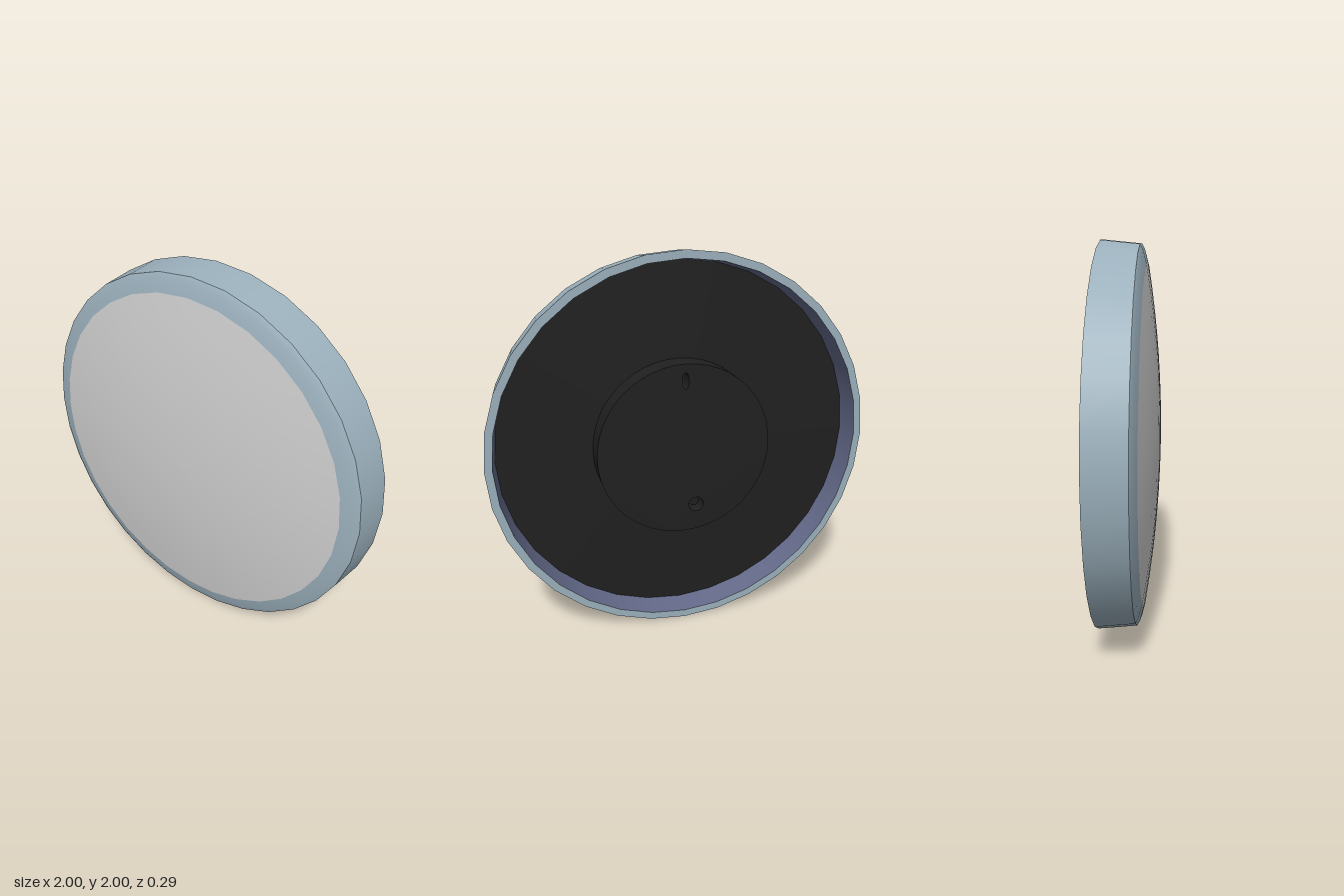
import * as THREE from 'three';
import { toCreasedNormals } from 'three/addons/utils/BufferGeometryUtils.js';

const SIDES = 32;
const BACK = -0.147;
const PLATE = -0.02;

const material = (name, color) => {
  const m = new THREE.MeshStandardMaterial({ color });
  m.name = name;
  return m;
};

export function createModel() {
  const rimBlue = material('blue grey rim', 0x9bb0bc);
  const lensGrey = material('light grey diffuser', 0xd0d0d0);
  const black = material('black base', 0x202020);
  const innerBlue = material('dusky blue lining', 0x646a8a);

  const model = new THREE.Group();
  model.name = 'roundLamp';
  const lamp = new THREE.Group();
  lamp.name = 'lampBody';
  lamp.position.y = 1;
  model.add(lamp);

  const add = (name, geometry, mat, parent = lamp) => {
    const mesh = new THREE.Mesh(geometry, mat);
    mesh.name = name;
    parent.add(mesh);
    return mesh;
  };

  // Profile of [radius, z] points turned about the z axis
  const turned = (name, points, mat, parent) => {
    const profile = points.map(([r, z]) => new THREE.Vector2(r, z));
    return add(name, new THREE.LatheGeometry(profile, SIDES).rotateX(Math.PI / 2), mat, parent);
  };

  // Rim: separate bands keep the edges crisp
  const rim = new THREE.Group();
  rim.name = 'rim';
  lamp.add(rim);
  turned('rimBackEdge', [[0.96, BACK], [1, BACK]], rimBlue, rim);
  turned('rimSide', [[1, BACK], [0.98, 0.045]], rimBlue, rim);
  turned('rimFront', [[0.98, 0.045], [0.95, 0.06], [0.89, 0.075]], rimBlue, rim);
  turned('rimLining', [[0.945, PLATE], [0.96, BACK]], innerBlue, rim);

  // Shallow domed diffuser
  const dome = [];
  for (let i = 0; i <= 8; i++) {
    const r = 0.89 * (1 - i / 8);
    dome.push([r, 0.145 - 0.07 * (r / 0.89) ** 2]);
  }
  turned('diffuser', dome, lensGrey);

  // Recessed back plate
  const plate = add('backPlate', new THREE.CircleGeometry(0.95, SIDES).rotateY(Math.PI), black);
  plate.position.z = PLATE;

  // Mounting hub with a narrow hanging slot and a round screw hole
  const hubShape = new THREE.Shape().absarc(0, 0, 0.457, 0, Math.PI * 2, false);
  const slot = new THREE.Path().absellipse(0, 0.37, 0.018, 0.042, 0, Math.PI * 2, true);
  const hole = new THREE.Path().absarc(-0.06, -0.31, 0.04, 0, Math.PI * 2, true);
  hubShape.holes.push(slot, hole);
  const hubGeometry = new THREE.ExtrudeGeometry(hubShape, {
    depth: PLATE - BACK - 0.002, bevelEnabled: false, curveSegments: 24,
  });
  const hub = add('mountingHub', toCreasedNormals(hubGeometry, 0.7), black);
  hub.position.z = BACK + 0.002;

  // Slotted screw set inside the round hole
  const screw = add('screw', new THREE.CylinderGeometry(0.028, 0.028, 0.08, 12).rotateX(Math.PI / 2), black);
  screw.position.set(-0.06, -0.31, -0.06);

  return model;
}
